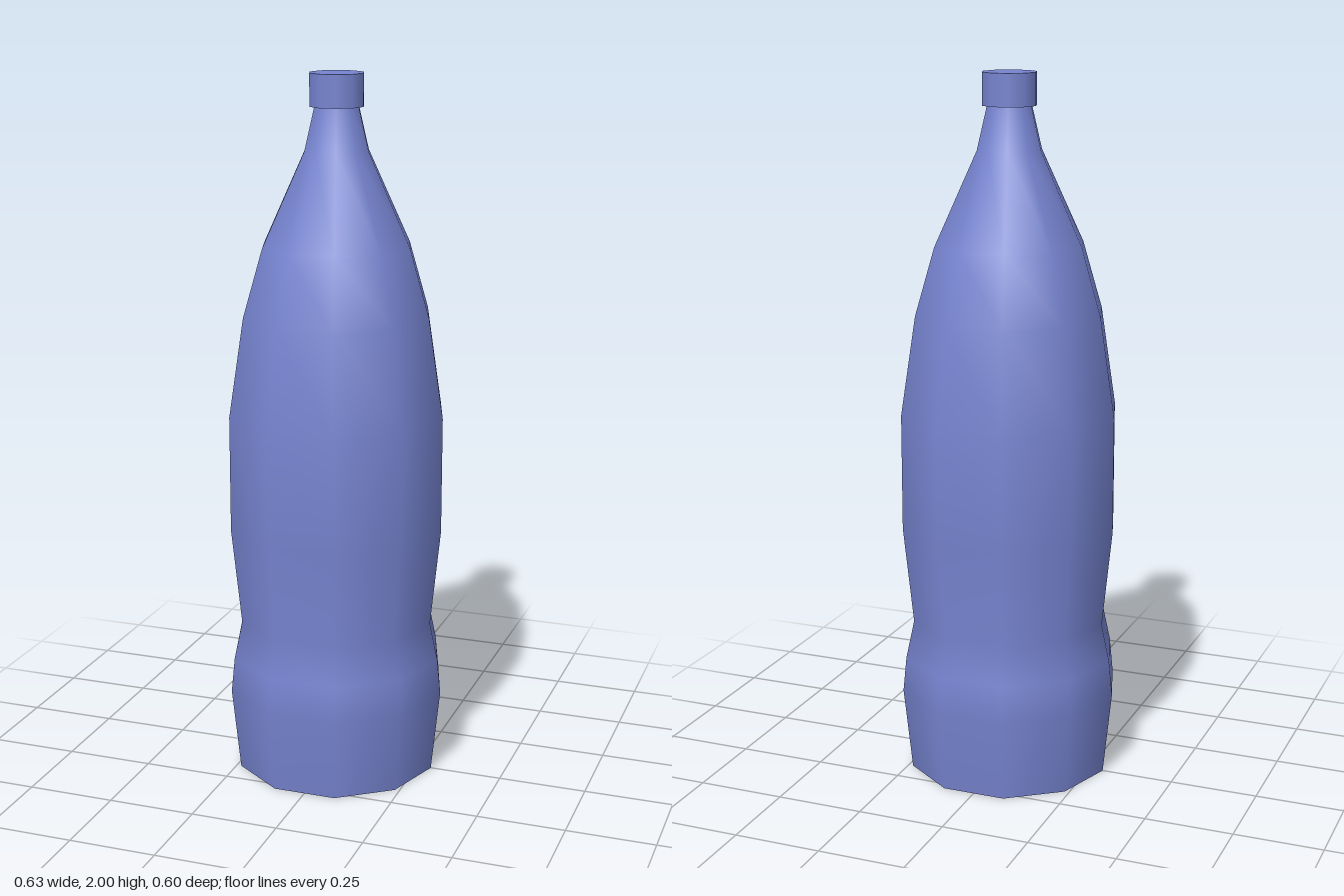
import * as THREE from 'three';

const SIDES = 10;

export function createModel() {
  const group = new THREE.Group();
  group.name = 'bottle';
  const material = new THREE.MeshStandardMaterial({ color: 0x7684d0 });

  // Ten-sided turned part from [radius, height] pairs, listed from bottom to top
  const turn = (name, profile) => {
    const points = profile.map(([r, y]) => new THREE.Vector2(r, y));
    const geometry = new THREE.LatheGeometry(points, SIDES, Math.PI / 2);
    const mesh = new THREE.Mesh(geometry, material);
    mesh.name = name;
    group.add(mesh);
  };

  // Recessed underside: flat floor and the short wall around it
  turn('baseFloor', [[0, 0.025], [0.28, 0.025]]);
  turn('baseRim', [[0.28, 0.025], [0.292, 0]]);

  // Body with a grip waist, tapering shoulder and narrow neck
  turn('body', [
    [0.292, 0], [0.317, 0.24], [0.307, 0.34], [0.283, 0.45], [0.312, 0.73],
    [0.312, 1.06], [0.269, 1.34], [0.213, 1.53], [0.092, 1.79], [0.061, 1.92],
  ]);

  // Screw cap: underside, wall and flat top
  turn('capUnderside', [[0.05, 1.91], [0.077, 1.91]]);
  turn('capWall', [[0.077, 1.91], [0.077, 2]]);
  turn('capTop', [[0.077, 2], [0, 2]]);

  return group;
}
